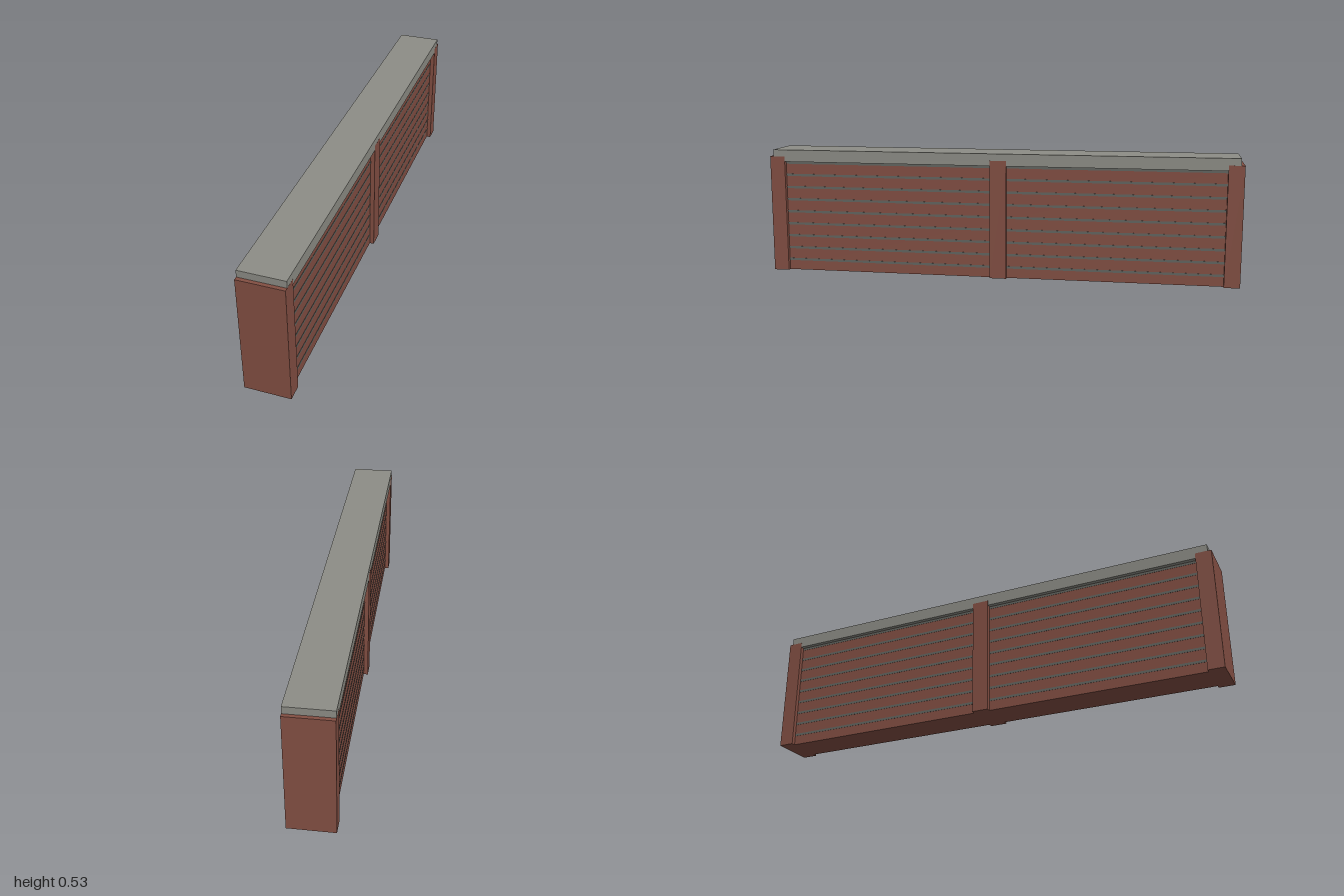
import * as THREE from 'three';

export function createModel() {
  const wall = new THREE.Group();
  wall.name = 'gardenWall';
  const brick = new THREE.MeshStandardMaterial({ name: 'brick red', color: 0x834f43 });
  const stone = new THREE.MeshStandardMaterial({ name: 'coping grey', color: 0x8d8d86 });
  const mortar = new THREE.MeshStandardMaterial({ name: 'mortar grey', color: 0x626560 });

  // Box given by its half width, bottom and top heights, and z range
  function slab(name, material, halfX, y0, y1, z0, z1) {
    const mesh = new THREE.Mesh(new THREE.BoxGeometry(halfX * 2, y1 - y0, z1 - z0), material);
    mesh.position.set(0, (y0 + y1) / 2, (z0 + z1) / 2);
    mesh.name = name;
    wall.add(mesh);
    return mesh;
  }

  // Recessed wall panel between the piers
  slab('panel', brick, 0.074, 0, 0.484, -0.96, 0.96);

  // Piers at both ends and in the middle
  slab('backPier', brick, 0.092, 0, 0.502, -1, -0.935);
  slab('middlePier', brick, 0.092, 0, 0.502, -0.035, 0.035);
  slab('frontPier', brick, 0.092, 0, 0.502, 0.935, 1);

  // Coping stone along the top
  slab('coping', stone, 0.0917, 0.48, 0.531, -0.985, 0.985);

  // Thin mortar courses, showing on both long faces
  for (let i = 0; i < 9; i++) {
    const y = 0.046 + i * 0.0535;
    slab('mortarCourse', mortar, 0.075, y - 0.005, y + 0.005, -0.95, 0.95);
  }
  return wall;
}
